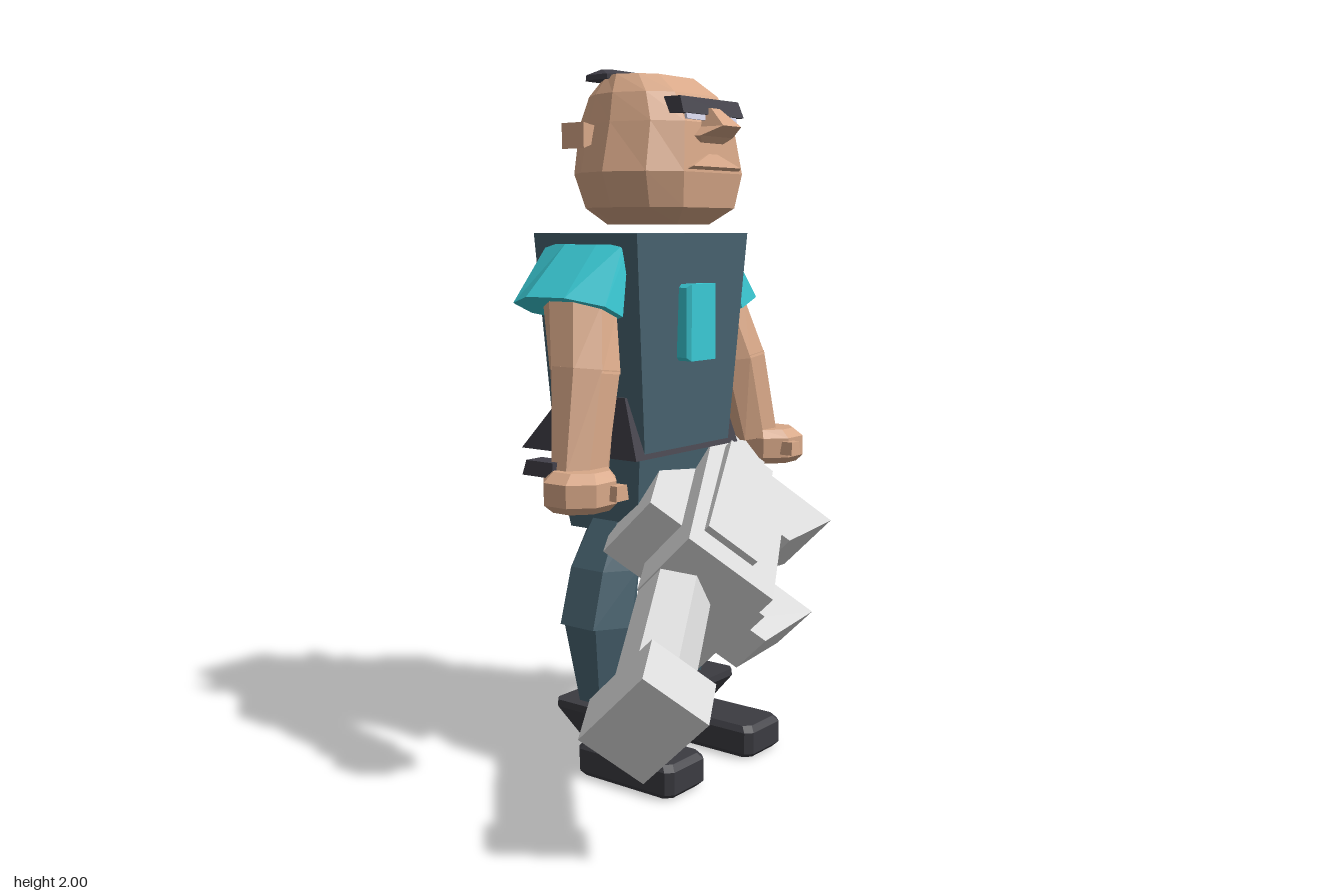
import * as THREE from 'three';

const mat = (name, color) => Object.assign(new THREE.MeshStandardMaterial({ color }), { name });

// Faceted solid through a list of rings (equal point counts), capped at both ends
function loft(rings) {
  const tris = [], n = rings[0].length;
  for (let r = 0; r < rings.length - 1; r++) {
    for (let i = 0; i < n; i++) {
      const j = (i + 1) % n, a = rings[r][i], b = rings[r][j], c = rings[r + 1][j], d = rings[r + 1][i];
      tris.push([a, b, c], [a, c, d]);
    }
  }
  const first = rings[0], last = rings[rings.length - 1];
  for (let i = 1; i < n - 1; i++) {
    tris.push([first[0], first[i + 1], first[i]], [last[0], last[i], last[i + 1]]);
  }
  // turn all faces outward
  let volume = 0;
  for (const [a, b, c] of tris) {
    volume += a[0] * (b[1] * c[2] - b[2] * c[1]) + a[1] * (b[2] * c[0] - b[0] * c[2]) + a[2] * (b[0] * c[1] - b[1] * c[0]);
  }
  if (volume < 0) tris.forEach(t => t.reverse());
  const g = new THREE.BufferGeometry();
  g.setAttribute('position', new THREE.Float32BufferAttribute(tris.flat(2), 3));
  g.computeVertexNormals();
  return g;
}

// Rectangle ring at height y: x0, x1, z0, z1
const rectY = (y, x0, x1, z0, z1) => [[x0, y, z0], [x1, y, z0], [x1, y, z1], [x0, y, z1]];
// Rectangle ring at position x: y0, y1, z0, z1
const rectX = (x, y0, y1, z0, z1) => [[x, y0, z0], [x, y1, z0], [x, y1, z1], [x, y0, z1]];
// Rectangle ring at height y with corners cut by c
const cutRectY = (y, x0, x1, z0, z1, c = 0.02) => [[x0, y, z0 + c], [x0 + c, y, z0], [x1 - c, y, z0], [x1, y, z0 + c],
  [x1, y, z1 - c], [x1 - c, y, z1], [x0 + c, y, z1], [x0, y, z1 - c]];
// Oval ring; tilt raises it along x
const oval = (cx, cy, cz, rx, rz, tilt = 0, n = 8) => Array.from({ length: n }, (_, i) => {
  const t = (i + 0.5) / n * Math.PI * 2, dx = Math.cos(t) * rx;
  return [cx + dx, cy + dx * tilt, cz + Math.sin(t) * rz];
});

export function createModel() {
  const model = new THREE.Group();
  const skin = mat('skin', 0xd8a888);
  const teal = mat('dark teal cloth', 0x486370);
  const cyan = mat('bright teal cloth', 0x3acad5);
  const dark = mat('dark leather', 0x424049);
  const boot = mat('boot black', 0x3b3b41);
  const grey = mat('light metal', 0xd8d8d8);
  const white = mat('eye white', 0xd9d9ee);
  const add = (name, material, rings, parent = model) => {
    const m = new THREE.Mesh(loft(rings), material);
    m.name = name;
    parent.add(m);
    return m;
  };

  // Everything but the weapon is nearly symmetric about x = 0 inside this group
  const body = new THREE.Group();
  body.name = 'body';
  body.position.x = 0.037;
  model.add(body);
  const part = (name, material, rings) => add(name, material, rings, body);

  // Torso, belt and hips
  part('torso', teal, [rectY(0.94, -0.197, 0.197, -0.365, -0.03), rectY(1.55, -0.257, 0.257, -0.38, -0.005)]);
  part('belt', dark, [rectY(0.93, -0.24, 0.24, -0.457, -0.025), rectY(1.1, -0.222, 0.222, -0.305, -0.08)]);
  part('hips', teal, [rectY(0.7, -0.165, 0.165, -0.335, -0.085), rectY(0.94, -0.195, 0.195, -0.375, -0.05)]);
  part('chestPlate', cyan, [
    rectX(-0.066, 1.205, 1.4, -0.02, 0.015), rectX(-0.056, 1.195, 1.41, -0.02, 0.026),
    rectX(0.056, 1.195, 1.41, -0.02, 0.026), rectX(0.066, 1.205, 1.4, -0.02, 0.015)]);

  // Head: one outline scaled through stacked levels
  const outline = [[0, -1], [0.62, -0.8], [0.89, -0.38], [1, 0.1], [0.85, 0.68], [0.53, 1],
    [-0.53, 1], [-0.85, 0.68], [-1, 0.1], [-0.89, -0.38], [-0.62, -0.8]];
  const level = (y, w, back, front) => outline.map(([x, t]) =>
    [x * w, y, (back + front) / 2 + t * (front - back) / 2]);
  part('head', skin, [
    level(1.575, 0.14, -0.28, -0.01), level(1.62, 0.225, -0.325, 0.045), level(1.715, 0.255, -0.355, 0.06),
    level(1.85, 0.212, -0.355, 0.045), level(1.93, 0.186, -0.325, 0), level(1.983, 0.15, -0.275, -0.07)]);
  part('hair', dark, [cutRectY(1.972, -0.152, 0.152, -0.29, -0.175), cutRectY(1.986, -0.152, 0.152, -0.288, -0.175),
    cutRectY(2, -0.135, 0.135, -0.25, -0.205)]);
  part('brow', dark, [rectY(1.87, -0.14, 0.14, 0.015, 0.062), rectY(1.915, -0.134, 0.134, -0.01, 0.046)]);
  part('nose', skin, [rectY(1.795, -0.05, 0.05, 0.03, 0.056), rectY(1.812, -0.075, 0.075, 0.03, 0.07),
    rectY(1.838, -0.042, 0.042, 0.03, 0.122), rectY(1.888, -0.02, 0.02, 0.02, 0.065)]);
  part('upperLip', skin, [rectY(1.722, -0.12, 0.12, 0.03, 0.06), rectY(1.73, -0.11, 0.11, 0.03, 0.073),
    rectY(1.765, -0.02, 0.02, 0.03, 0.058)]);

  for (const s of [-1, 1]) {
    const side = s > 0 ? 'left' : 'right';
    const box = (y, x0, x1, z0, z1) => rectY(y, s * x0, s * x1, z0, z1);
    const ring = (x, y, z, rx, rz, tilt = 0, n = 8) => oval(s * x, y, z, rx, rz, s * tilt, n);
    const drop = s < 0 ? 0.015 : 0; // the right hand hangs a little lower

    // Face details
    part(side + 'Eye', white, [box(1.855, 0.03, 0.115, 0.048, 0.056), box(1.875, 0.03, 0.115, 0.044, 0.052)]);
    part(side + 'Ear', skin, [rectX(s * 0.17, 1.8, 1.84, -0.24, -0.205), rectX(s * 0.215, 1.79, 1.845, -0.255, -0.2),
      rectX(s * 0.245, 1.78, 1.85, -0.28, -0.2)]);

    // Arm
    part(side + 'Sleeve', cyan, [ring(0.235, 1.52, -0.2, 0.03, 0.15), ring(0.315, 1.343, -0.205, 0.095, 0.182, 0.42)]);
    part(side + 'UpperArm', skin, [ring(0.298, 1.35, -0.175, 0.08, 0.115, 0.42), ring(0.343, 1.18, -0.118, 0.098, 0.102, 0.12)]);
    part(side + 'Forearm', skin, [ring(0.343, 1.19, -0.118, 0.096, 0.1, 0.12),
      ring(0.408, 0.93 - drop, -0.08, 0.093, 0.066, 0.12)]);
    part(side + 'Hand', skin, [ring(0.45, 0.845 - drop, -0.04, 0.085, 0.075), ring(0.45, 0.865 - drop, -0.045, 0.106, 0.1),
      ring(0.45, 0.925 - drop, -0.045, 0.106, 0.1), ring(0.44, 0.95 - drop, -0.05, 0.08, 0.08)]);
    part(side + 'Thumb', skin, [box(0.875 - drop, 0.39, 0.44, 0, 0.072), box(0.915 - drop, 0.395, 0.435, 0, 0.07)]);
    part(side + 'WristGuard', dark, [box(0.915, 0.435, 0.51, -0.195, -0.09), box(0.955, 0.445, 0.505, -0.185, -0.09)]);

    // Leg
    part(side + 'Thigh', teal, [ring(0.115, 0.74, -0.2, 0.06, 0.09, 0, 6), ring(0.155, 0.6, -0.212, 0.095, 0.12, 0, 6),
      ring(0.19, 0.44, -0.212, 0.108, 0.123, 0, 6)]);
    part(side + 'Shin', teal, [ring(0.19, 0.45, -0.212, 0.094, 0.119, 0, 6), ring(0.192, 0.2, -0.2, 0.058, 0.074, 0, 6)]);
    const foot = (y, w, z0, z1) => cutRectY(y, s * 0.192 - w, s * 0.192 + w, z0, z1);
    part(side + 'BootCuff', boot, [foot(0.11, 0.055, -0.255, -0.115), foot(0.19, 0.088, -0.31, -0.055),
      foot(0.21, 0.086, -0.308, -0.057)]);
    part(side + 'Shoe', boot, [foot(0, 0.075, -0.215, 0.105), foot(0.015, 0.087, -0.228, 0.12),
      foot(0.08, 0.087, -0.228, 0.12), foot(0.097, 0.075, -0.215, 0.105)]);
  }

  // Weapon, built along its own x from the muzzle backwards, then rolled and aimed
  const weapon = new THREE.Group();
  weapon.name = 'weapon';
  const along = new THREE.Vector3(0.814, 0.358, -0.456).normalize();
  const across = along.clone().cross(new THREE.Vector3(0.085, 0.705, 0.704)).normalize();
  const up = across.clone().cross(along);
  weapon.quaternion.setFromRotationMatrix(new THREE.Matrix4().makeBasis(along, up, across));
  weapon.position.set(-0.583, 0.4, 0.318);
  model.add(weapon);
  const gun = (name, rings) => add(name, grey, rings, weapon);

  gun('muzzle', [rectX(-0.075, -0.13, 0.13, -0.1, 0.1), rectX(0.075, -0.13, 0.13, -0.1, 0.1)]);
  const hex = x => Array.from({ length: 6 }, (_, i) =>
    [x, Math.cos(i * Math.PI / 3) * 0.1, Math.sin(i * Math.PI / 3) * 0.1]);
  gun('barrel', [hex(0.07), hex(0.5)]);
  const receiver = x => [[0.2, 0.18], [-0.09, 0.18], [-0.09, -0.05], [0.07, -0.12], [0.2, -0.23]].map(([z, y]) => [x, y, z]);
  gun('receiver', [receiver(0.47), receiver(1.03)]);
  gun('backHousing', [rectX(0.6, -0.1, 0.12, -0.2, -0.05), rectX(1.03, -0.1, 0.12, -0.2, -0.05)]);
  gun('topPlate', [rectX(0.55, 0.17, 0.2, -0.05, 0.12), rectX(1.02, 0.17, 0.21, -0.04, 0.12)]);
  gun('sideRail', [rectX(0.52, 0, 0.09, 0.18, 0.24), rectX(0.88, 0, 0.09, 0.18, 0.24)]);
  gun('magazine', [rectX(0.53, -0.11, 0.02, 0.19, 0.3), rectX(0.76, -0.11, 0.05, 0.19, 0.43)]);
  gun('rearBlock', [rectX(0.98, -0.2, 0.17, -0.15, 0.11), rectX(1.275, -0.2, 0.17, -0.15, 0.11)]);
  gun('stock', [rectX(0.97, -0.08, 0.08, 0.18, 0.3), rectX(1.255, -0.16, 0.075, 0.2, 0.455)]);

  return model;
}
